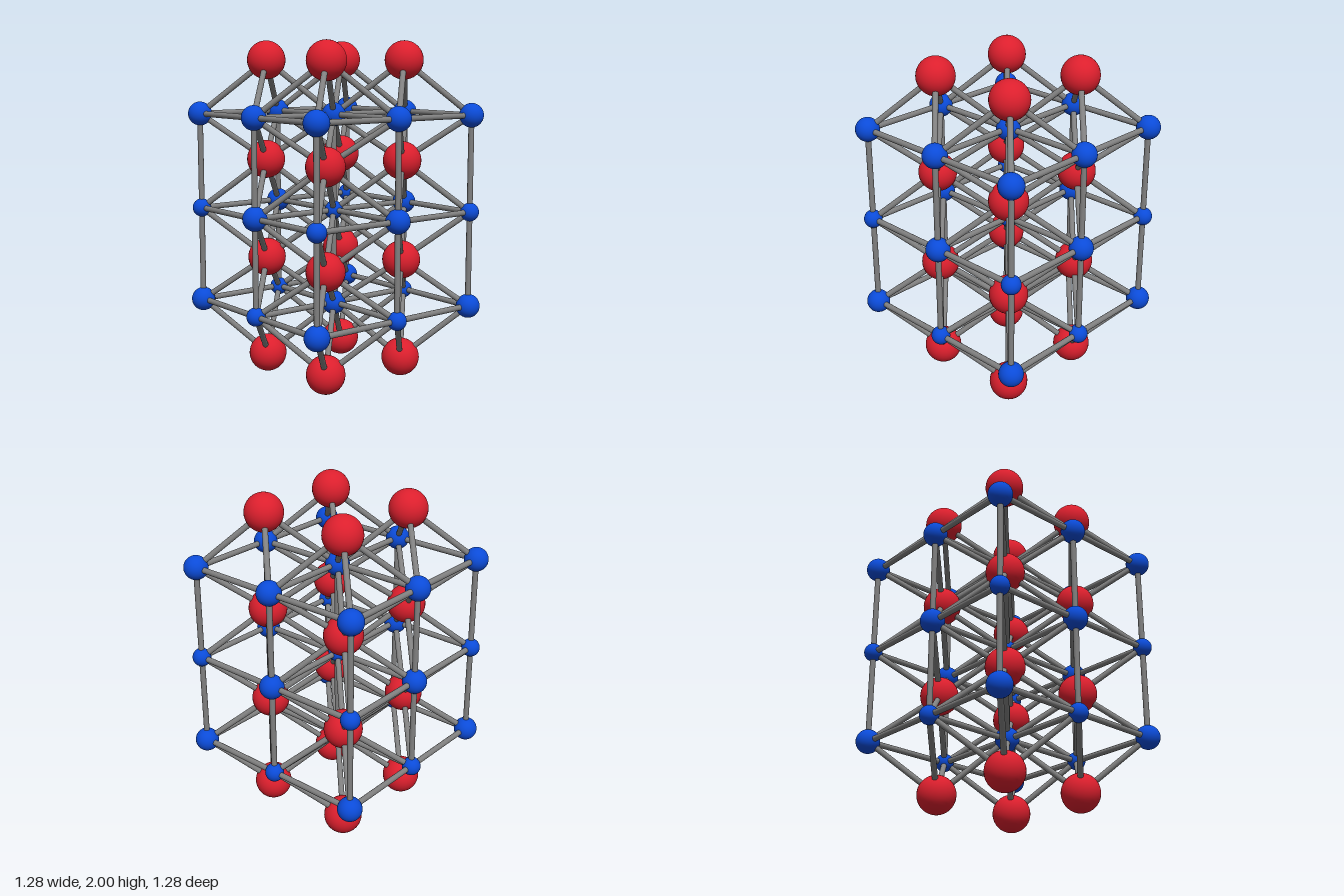
import * as THREE from 'three';

const material = (name, color) => {
  const m = new THREE.MeshStandardMaterial({ color });
  m.name = name;
  return m;
};

export function createModel() {
  const model = new THREE.Group();
  model.name = 'crystalLattice';
  const red = material('red', 0xdc1f2d);
  const blue = material('blue', 0x0b4bd8);
  const grey = material('grey', 0x808080);

  const ballGeometry = new THREE.SphereGeometry(1, 32, 20);
  const rodGeometry = new THREE.CylinderGeometry(0.017, 0.017, 1, 16, 1);
  const up = new THREE.Vector3(0, 1, 0);

  function ball(name, position, radius, mat) {
    const mesh = new THREE.Mesh(ballGeometry, mat);
    mesh.name = name;
    mesh.position.copy(position);
    mesh.scale.setScalar(radius);
    model.add(mesh);
  }

  function rod(name, a, b) {
    const mesh = new THREE.Mesh(rodGeometry, grey);
    mesh.name = name;
    const dir = b.clone().sub(a);
    mesh.position.copy(a).add(b).multiplyScalar(0.5);
    mesh.scale.y = dir.length();
    mesh.quaternion.setFromUnitVectors(up, dir.normalize());
    model.add(mesh);
  }

  // Small balls: three by three by three grid
  const levels = [0.437, 1.003, 1.571];
  const gridPoint = (i, j, k) => new THREE.Vector3((i - 1) * 0.568, levels[j], (k - 1) * 0.57);
  for (let i = 0; i < 3; i++) {
    for (let j = 0; j < 3; j++) {
      for (let k = 0; k < 3; k++) {
        const p = gridPoint(i, j, k);
        // Alternate balls of the two lower layers are smaller
        const small = j < 2 && (i + j + k) % 2 === 1;
        ball('smallBall', p, small ? 0.055 : 0.071, blue);
        // Edge rods to the next ball along each axis
        if (i < 2) rod('crossRod', p, gridPoint(i + 1, j, k));
        if (j < 2) rod('uprightRod', p, gridPoint(i, j + 1, k));
        if (k < 2) rod('depthRod', p, gridPoint(i, j, k + 1));
      }
    }
  }

  // Large balls in the cell centres, each joined to its cell's corners
  const cellLevels = [0.113, 0.711, 1.304, 1.888];
  cellLevels.forEach((y, layer) => {
    const shift = layer === 3 ? 0.003 : -0.005;
    for (let i = 0; i < 2; i++) {
      for (let k = 0; k < 2; k++) {
        const centre = new THREE.Vector3((i - 0.5) * 0.573 + shift, y, (k - 0.5) * 0.573 + 0.005);
        ball('largeBall', centre, 0.113, red);
        for (const j of [layer - 1, layer]) {
          if (j < 0 || j > 2) continue;
          for (const di of [0, 1]) {
            for (const dk of [0, 1]) rod('diagonalRod', centre, gridPoint(i + di, j, k + dk));
          }
        }
      }
    }
  });

  return model;
}
